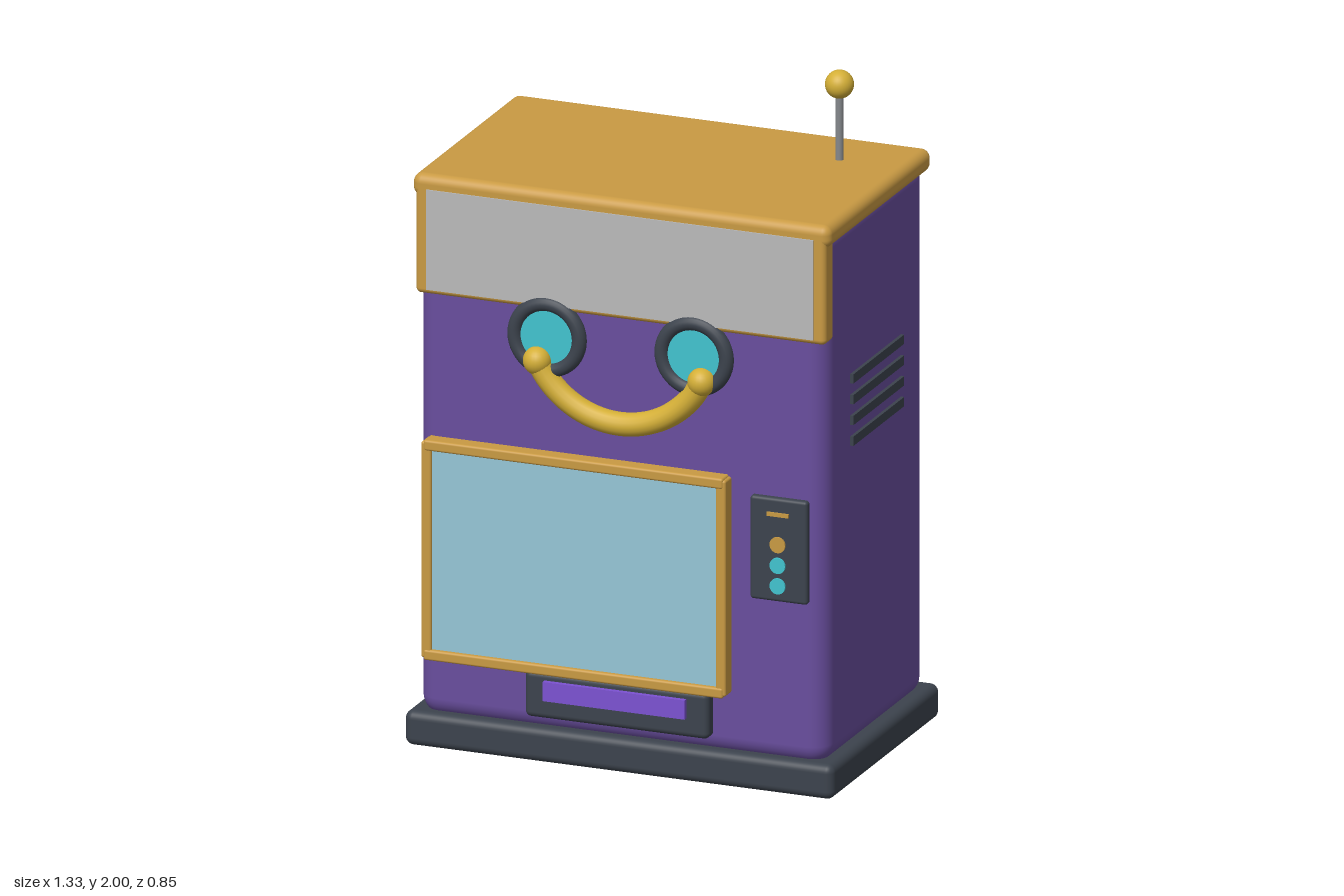
import * as THREE from 'three';
import { RoundedBoxGeometry } from 'three/addons/geometries/RoundedBoxGeometry.js';

const mat = (name, color) => {
  const m = new THREE.MeshStandardMaterial({ color });
  m.name = name;
  return m;
};

export function createModel() {
  const model = new THREE.Group();
  model.name = 'arcadeRobot';
  const purple = mat('purple', 0x694e9e);
  const orange = mat('orange', 0xc99a43);
  const gold = mat('gold', 0xd4af37);
  const dark = mat('charcoal', 0x3c434d);
  const teal = mat('teal', 0x42c4d0);
  const glass = mat('paleBlue', 0x96c6d6);
  const silver = mat('lightGrey', 0xbababa);
  const violet = mat('violet', 0x7c52d2);
  const steel = mat('steel', 0x85888c);

  const add = (name, geometry, material, x = 0, y = 0, z = 0) => {
    const mesh = new THREE.Mesh(geometry, material);
    mesh.name = name;
    mesh.position.set(x, y, z);
    model.add(mesh);
    return mesh;
  };
  // Box given by its extents; r > 0 rounds the edges
  const box = (name, material, [x0, x1], [y0, y1], [z0, z1], r = 0) => {
    const size = [x1 - x0, y1 - y0, z1 - z0];
    const g = r ? new RoundedBoxGeometry(...size, 4, r) : new THREE.BoxGeometry(...size);
    return add(name, g, material, (x0 + x1) / 2, (y0 + y1) / 2, (z0 + z1) / 2);
  };

  // Cabinet
  box('base', dark, [-0.665, 0.665], [0, 0.105], [-0.425, 0.397], 0.025);
  box('body', purple, [-0.633, 0.633], [0.085, 1.71], [-0.392, 0.37], 0.06);
  box('lid', orange, [-0.648, 0.648], [1.66, 1.73], [-0.405, 0.38], 0.028);

  // Forehead sign
  box('signFrame', orange, [-0.636, 0.636], [1.37, 1.71], [0.31, 0.38], 0.016);
  box('signPanel', silver, [-0.6, 0.6], [1.385, 1.688], [0.376, 0.384]);

  // Eyes
  for (const s of [-1, 1]) {
    add('eyeRing', new THREE.TorusGeometry(0.1, 0.022, 16, 48), dark, s * 0.228, 1.288, 0.374);
    const eye = add('eyeLens', new THREE.CylinderGeometry(0.095, 0.095, 0.02, 48), teal, s * 0.228, 1.288, 0.372);
    eye.rotation.x = Math.PI / 2;
  }

  // Smile: circular arc with ball ends
  const R = 0.283, half = Math.asin(0.255 / R);
  const points = [];
  for (let i = 0; i <= 12; i++) {
    const a = -half + (2 * half * i) / 12;
    points.push(new THREE.Vector3(R * Math.sin(a), 1.338 - R * Math.cos(a), 0.38));
  }
  add('smile', new THREE.TubeGeometry(new THREE.CatmullRomCurve3(points), 48, 0.035, 16), gold);
  for (const p of [points[0], points[12]]) {
    add('smileEnd', new THREE.SphereGeometry(0.042, 24, 16), gold, p.x, p.y, 0.383);
  }

  // Screen and its four frame bars
  box('screenGlass', glass, [-0.585, 0.32], [0.295, 0.92], [0.36, 0.405]);
  for (const x of [-0.588, 0.325]) {
    box('screenSideBar', orange, [x - 0.016, x + 0.016], [0.28, 0.935], [0.36, 0.415], 0.007);
  }
  for (const y of [0.29, 0.925]) {
    box('screenCrossBar', orange, [-0.595, 0.333], [y - 0.016, y + 0.016], [0.36, 0.418], 0.007);
  }

  // Control panel
  box('controlPanel', dark, [0.405, 0.583], [0.58, 0.893], [0.355, 0.388], 0.01);
  box('controlSlot', orange, [0.459, 0.527], [0.839, 0.851], [0.386, 0.393]);
  [[0.754, orange], [0.691, teal], [0.629, teal]].forEach(([y, material]) => {
    const button = add('button', new THREE.CylinderGeometry(0.024, 0.024, 0.02, 24), material, 0.493, y, 0.384);
    button.rotation.x = Math.PI / 2;
  });

  // Delivery tray
  box('tray', dark, [-0.285, 0.285], [0.14, 0.282], [0.35, 0.41], 0.018);
  box('trayFlap', violet, [-0.222, 0.218], [0.2, 0.258], [0.4, 0.425]);

  // Side vents
  for (const s of [-1, 1]) {
    for (let i = 0; i < 4; i++) {
      add('vent', new THREE.BoxGeometry(0.02, 0.028, 0.385), dark, s * 0.633, 1.022 + i * 0.063, -0.01);
    }
  }

  // Antenna
  add('antennaRod', new THREE.CylinderGeometry(0.012, 0.012, 0.22, 16), steel, 0.442, 1.83, -0.203);
  add('antennaBall', new THREE.SphereGeometry(0.042, 32, 20), gold, 0.442, 1.958, -0.203);

  return model;
}
